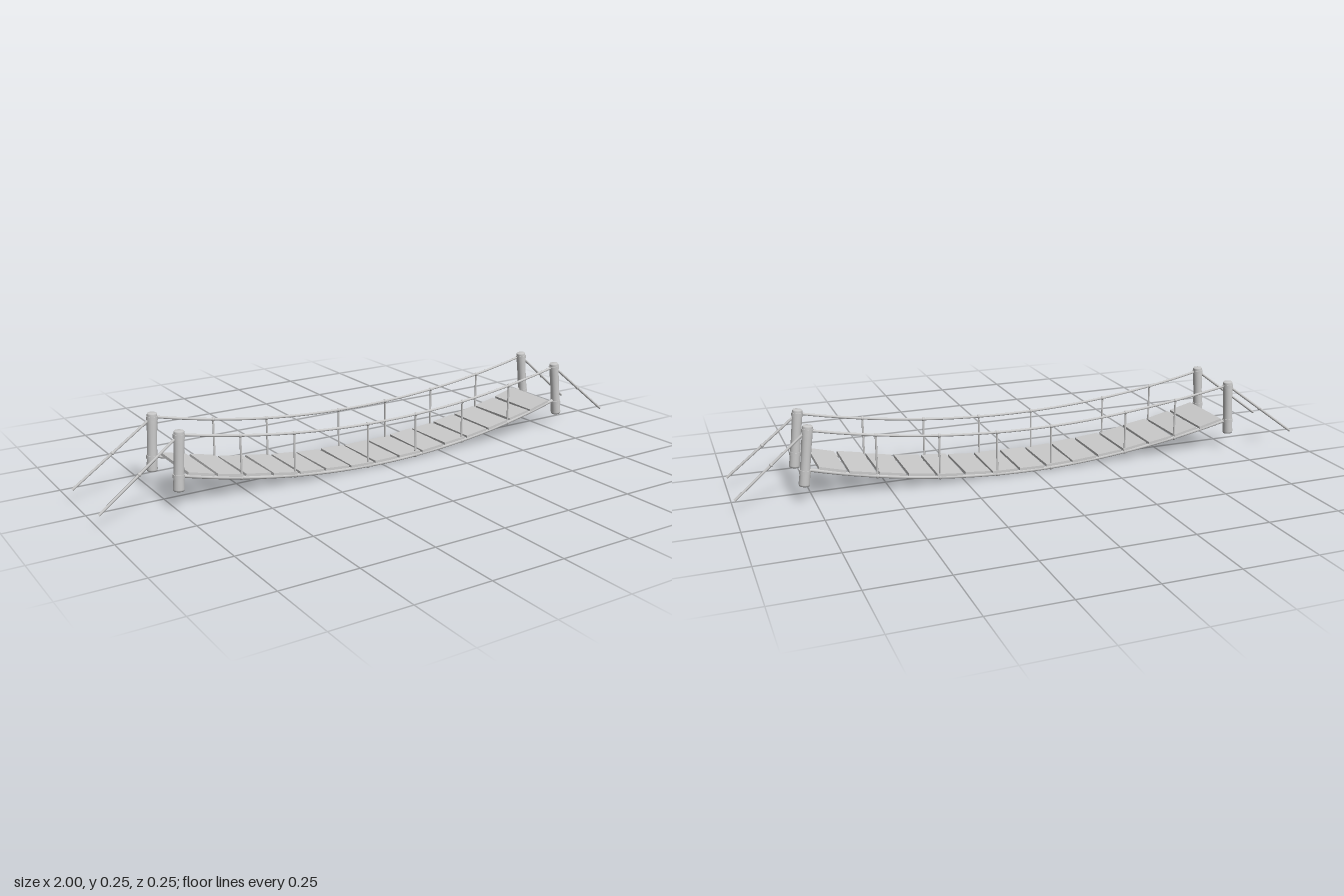
import * as THREE from 'three';

const material = new THREE.MeshStandardMaterial({ color: 0xcccccc });
const V = (x, y, z) => new THREE.Vector3(x, y, z);
const UP = V(0, 1, 0);

// sagging heights of the deck ropes and hand ropes along x
const sag = (x, low, rise) => low + rise * ((x - 0.015) / 0.745) ** 2;
const deckY = (x) => sag(x, 0.007, 0.1);
const handY = (x) => sag(x, 0.155, 0.083);

// sideways line of each rope: the back one swings out at one end
const frontZ = (x) => 0.105 + 0.003 * x * x;
const backZ = (x) => -0.084 - 0.023 * Math.max(0, (-x - 0.3) / 0.43) ** 1.5;

export function createModel() {
  const group = new THREE.Group();

  const add = (name, geometry, parent = group) => {
    const mesh = new THREE.Mesh(geometry, material);
    mesh.name = name;
    parent.add(mesh);
    return mesh;
  };

  const rod = (name, a, b, r) => {
    const mesh = add(name, new THREE.CylinderGeometry(r, r, a.distanceTo(b), 8));
    mesh.position.copy(a).lerp(b, 0.5);
    mesh.quaternion.setFromUnitVectors(UP, b.clone().sub(a).normalize());
    return mesh;
  };

  const knot = (p, r = 0.007) => {
    const mesh = add('knot', new THREE.SphereGeometry(r, 8, 6));
    mesh.position.copy(p);
  };

  const rope = (name, yOf, zOf, r) => {
    const points = [];
    for (let i = 0; i <= 16; i++) {
      const x = -0.735 + (1.5 * i) / 16;
      points.push(V(x, yOf(x), zOf(x)));
    }
    const curve = new THREE.CatmullRomCurve3(points);
    add(name, new THREE.TubeGeometry(curve, 64, r, 8));
  };

  // deck planks, each following the slope of the ropes with a slight twist
  for (let i = 0; i < 15; i++) {
    const x = -0.668 + i * 0.097;
    const z0 = backZ(x) - 0.006, z1 = frontZ(x) + 0.006;
    const plank = add('plank', new THREE.BoxGeometry(0.088, 0.009, z1 - z0));
    plank.position.set(x, deckY(x) + 0.01, (z0 + z1) / 2);
    const slope = Math.atan((deckY(x + 0.01) - deckY(x - 0.01)) / 0.02);
    plank.rotation.set(0.012 * Math.sin(i * 2.3), 0, slope + 0.02 * Math.sin(i * 3.7));
  }

  // ropes and hangers on both sides
  for (const [side, zOf] of [['front', frontZ], ['back', backZ]]) {
    rope(side + 'DeckRope', deckY, zOf, 0.006);
    rope(side + 'HandRope', handY, zOf, 0.0045);
    for (const x of [-0.53, -0.34, -0.06, 0.135, 0.335, 0.545]) {
      const low = V(x, deckY(x), zOf(x)), high = V(x, handY(x), zOf(x));
      rod('hanger', low, high, 0.0035);
      knot(low, 0.008);
      knot(high);
    }
  }

  // leaning posts: foot, top, anchor point of the guy rope
  const posts = [
    [V(-0.742, 0.062, 0.107), V(-0.731, 0.251, 0.107), V(-0.997, 0.042, 0.118)],
    [V(-0.742, 0.06, -0.107), V(-0.731, 0.251, -0.106), V(-0.997, 0.042, -0.124)],
    [V(0.78, 0.055, 0.107), V(0.757, 0.251, 0.107), V(0.997, 0.042, 0.12)],
    [V(0.78, 0.056, -0.081), V(0.757, 0.252, -0.079), V(0.997, 0.042, -0.096)],
  ];
  for (const [foot, top, anchor] of posts) {
    const post = new THREE.Group();
    post.name = 'post';
    post.position.copy(foot);
    const dir = top.clone().sub(foot);
    const h = dir.length();
    post.quaternion.setFromUnitVectors(UP, dir.normalize());
    group.add(post);

    // slightly uneven log with softened rims
    const profile = [[0, 0], [0.0165, 0], [0.0178, 0.03], [0.0165, 0.25], [0.0158, 0.55],
      [0.0168, 0.8], [0.0165, 0.98], [0.015, 1], [0, 1]];
    add('log', new THREE.LatheGeometry(profile.map(([r, t]) => new THREE.Vector2(r, t * h)), 14), post);

    // rope lashings near the top and at deck height
    for (const y of [h - 0.016, 0.047]) {
      const band = add('lashing', new THREE.CylinderGeometry(0.0188, 0.0188, 0.012, 14), post);
      band.position.y = y;
    }

    // guy rope down to the ground, with a knot on the way
    const tie = top.clone().lerp(foot, 0.07);
    rod('guyRope', tie, anchor, 0.0045);
    knot(tie.clone().lerp(anchor, 0.5), 0.0065);
  }

  return group;
}
